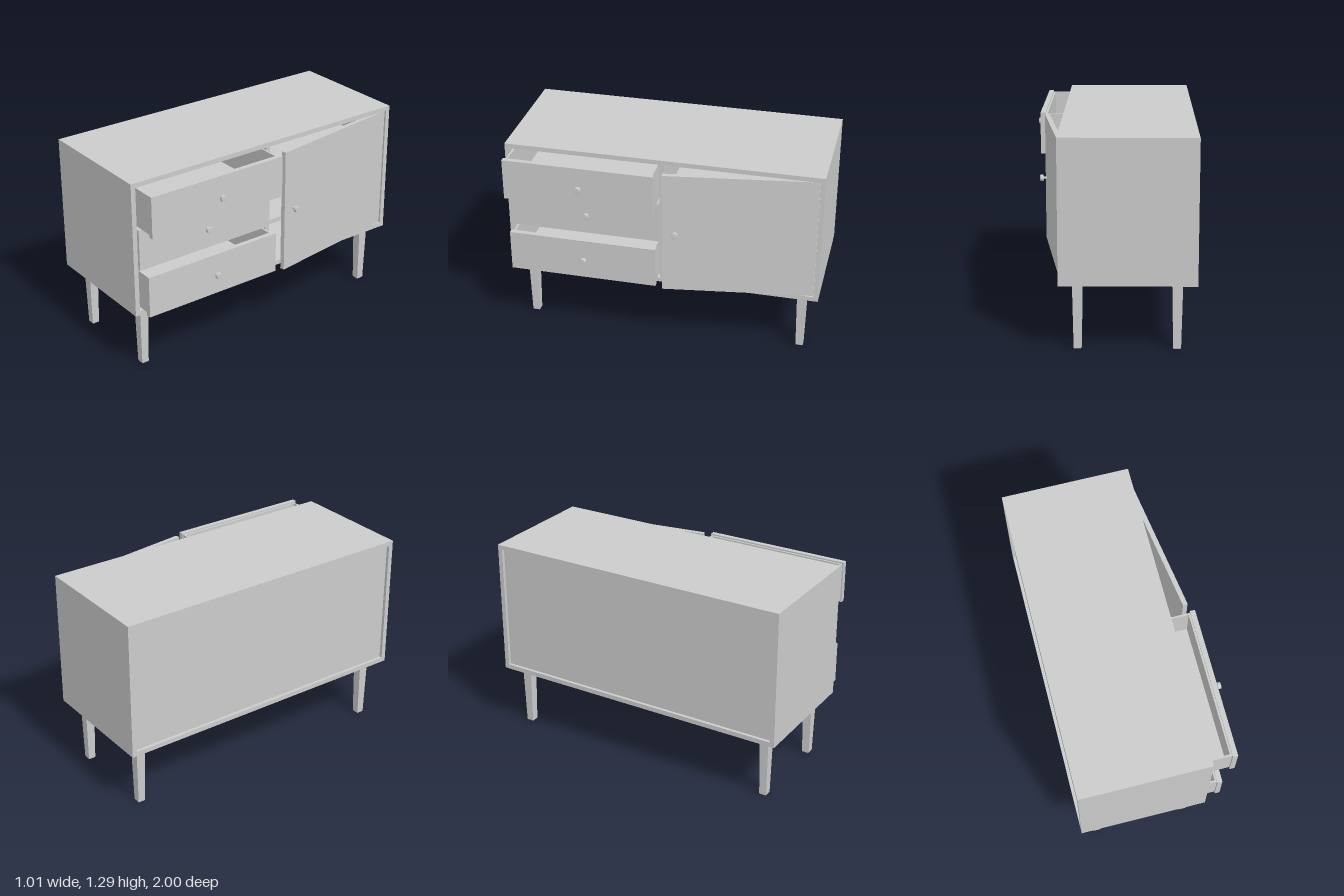
import * as THREE from 'three';

const material = new THREE.MeshStandardMaterial({ color: 0xcccccc });
const flatMaterial = new THREE.MeshStandardMaterial({ color: 0xcccccc, flatShading: true });

// Box given by its minimum and maximum on each axis
function box(name, x0, x1, y0, y1, z0, z1) {
  const mesh = new THREE.Mesh(new THREE.BoxGeometry(x1 - x0, y1 - y0, z1 - z0), material);
  mesh.position.set((x0 + x1) / 2, (y0 + y1) / 2, (z0 + z1) / 2);
  mesh.name = name;
  return mesh;
}

// Round knob pointing along +x, with its stem starting at the given point
function makeKnob(x, y, z) {
  const knob = new THREE.Group();
  knob.name = 'knob';
  const stem = new THREE.Mesh(new THREE.CylinderGeometry(0.009, 0.009, 0.024, 16), material);
  stem.name = 'knobStem';
  stem.position.y = 0.012;
  const profile = [[0, 0.02], [0.019, 0.02], [0.021, 0.022], [0.021, 0.039], [0.019, 0.041], [0, 0.041]];
  const head = new THREE.Mesh(
    new THREE.LatheGeometry(profile.map(([r, h]) => new THREE.Vector2(r, h)), 24), material);
  head.name = 'knobHead';
  knob.add(stem, head);
  knob.rotation.z = -Math.PI / 2;
  knob.position.set(x, y, z);
  return knob;
}

// Carcass: outer boards, recessed back, divider and shelves behind the door
function makeCarcass() {
  const g = new THREE.Group();
  g.name = 'carcass';
  const back = -0.51, front = 0.305, low = 0.415, high = 1.29, t = 0.03;
  g.add(
    box('topBoard', back, front, high - t, high, -1, 1),
    box('bottomBoard', back, front, low, low + t, -1, 1),
    box('leftEndBoard', back, front, low + t, high - t, 1 - t, 1),
    box('rightEndBoard', back, front, low + t, high - t, -1, t - 1),
    box('backPanel', back + 0.02, back + 0.035, low + t, high - t, t - 1, 1 - t),
    box('divider', back + 0.035, front - 0.005, low + t, high - t, -0.015, 0.015)
  );
  for (const y of [0.705, 1.005])
    g.add(box('shelf', back + 0.035, 0.25, y - 0.015, y + 0.015, t - 1, -0.015));
  return g;
}

// Open drawer box with an overlapping front; x is the outer face of the front
function makeDrawer(x, y0) {
  const g = new THREE.Group();
  g.name = 'drawer';
  const y1 = y0 + 0.267, b0 = y0 + 0.01, b1 = y1 - 0.01;
  const xf = x - 0.032, xb = xf - 0.72, z0 = 0.025, z1 = 0.955, t = 0.012;
  g.add(
    box('drawerFront', xf, x, y0, y1, 0.017, 0.966),
    box('drawerBottom', xb, xf, b0, b0 + t, z0, z1),
    box('drawerSide', xb, xf, b0 + t, b1, z0, z0 + t),
    box('drawerSide', xb, xf, b0 + t, b1, z1 - t, z1),
    box('drawerBack', xb, xb + t, b0 + t, b1, z0 + t, z1 - t),
    box('drawerInnerFront', xf - t, xf, b0 + t, b1, z0 + t, z1 - t),
    makeKnob(x, (y0 + y1) / 2, 0.48)
  );
  return g;
}

// Door standing ajar, hinged at its outer end
function makeDoor() {
  const g = new THREE.Group();
  g.name = 'door';
  g.add(box('doorPanel', -0.03, 0, 0.448, 1.257, 0, 0.945), makeKnob(0, 0.86, 0.867));
  g.position.set(0.295, 0, -0.968);
  g.rotation.y = 0.144;
  return g;
}

// Square tapered leg with a small bevel at the foot
function makeLeg(x, z) {
  const g = new THREE.Group();
  g.name = 'leg';
  const section = (name, top, bottom, y0, y1) => {
    const mesh = new THREE.Mesh(
      new THREE.CylinderGeometry(top * Math.SQRT2, bottom * Math.SQRT2, y1 - y0, 4), flatMaterial);
    mesh.rotation.y = Math.PI / 4;
    mesh.position.y = (y0 + y1) / 2;
    mesh.name = name;
    return mesh;
  };
  g.add(section('legShaft', 0.031, 0.0235, 0.006, 0.415), section('legFoot', 0.0235, 0.019, 0, 0.006));
  g.position.set(x, 0, z);
  return g;
}

export function createModel() {
  const model = new THREE.Group();
  model.name = 'sideboard';
  model.add(makeCarcass(), makeDoor());
  // Bottom, middle and top drawers, each pulled out a different distance
  model.add(makeDrawer(0.409, 0.447), makeDrawer(0.317, 0.722), makeDrawer(0.463, 0.991));
  for (const x of [-0.395, 0.195])
    for (const z of [-0.89, 0.89]) model.add(makeLeg(x, z));
  return model;
}
